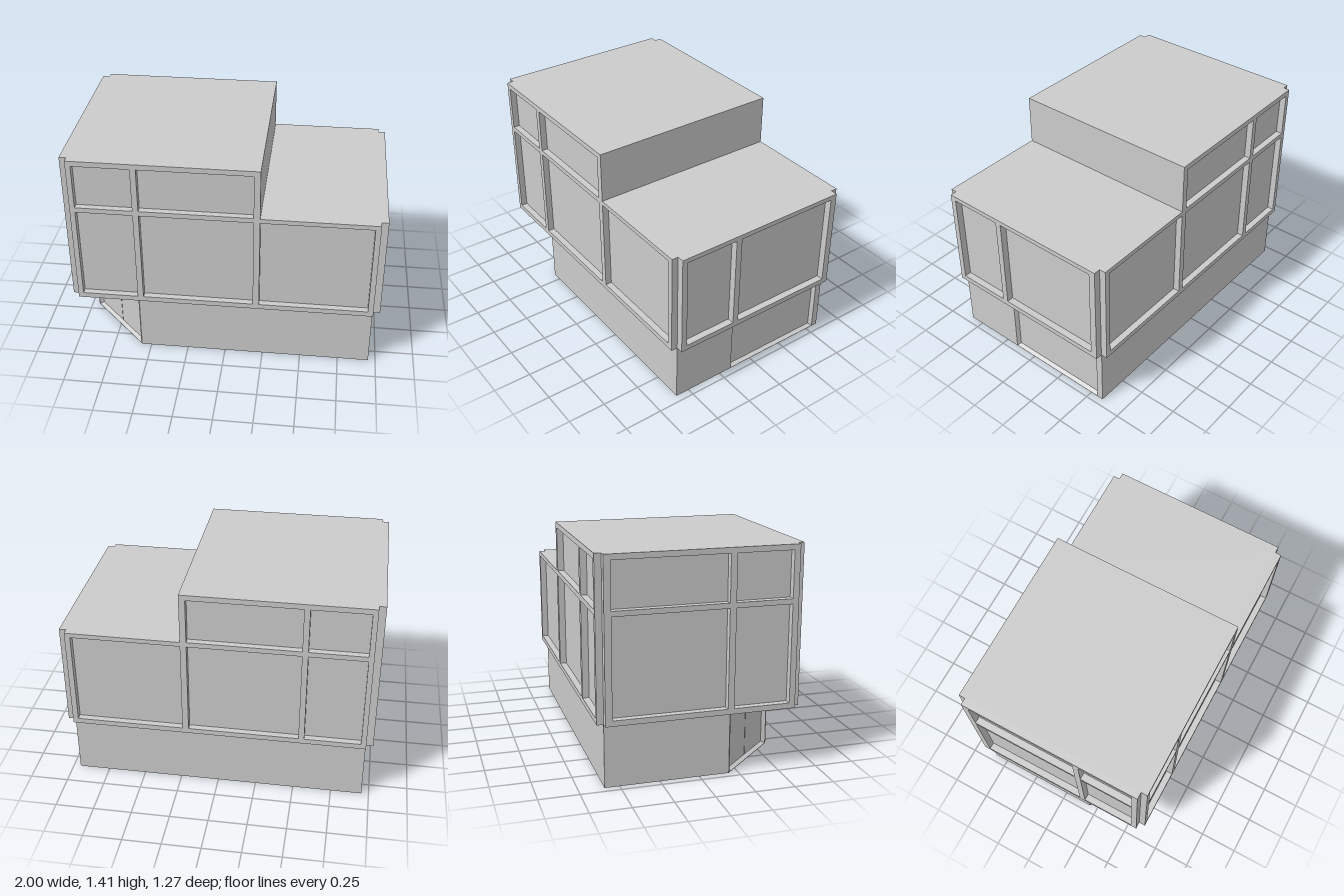
import * as THREE from 'three';

const FLOOR = 0.4, LOW = 1.085, TOP = 1.415, STEP = 0.225; // storey heights and roof step
const X = 0.955, Z = 0.593, FX = 0.045, FZ = 0.042; // core half sizes, frame depths

function polygon(points) {
  return new THREE.Shape(points.map(([x, y]) => new THREE.Vector2(x, y)));
}

function rect(x0, x1, y0, y1) {
  return [[x0, y0], [x1, y0], [x1, y1], [x0, y1]];
}

// Plate with window openings, extruded along +z
function plate(outline, windows, depth) {
  const shape = polygon(outline);
  shape.holes = windows.map((w) => polygon(rect(...w).reverse()));
  return new THREE.ExtrudeGeometry(shape, { depth, bevelEnabled: false });
}

// Splayed reveal and sunken panel of a doorway in the local plane z = 0
function doorway([x0, x1, y0, y1], depth, splay) {
  const outer = rect(x0, x1, y0, y1).map(([x, y]) => [x, y, 0]);
  const inner = rect(x0 + splay, x1 - splay, y0 + splay, y1 - splay).map(([x, y]) => [x, y, -depth]);
  const pos = [];
  const quad = (a, b, c, d) => pos.push(...a, ...b, ...c, ...a, ...c, ...d);
  for (let i = 0; i < 4; i++) {
    const j = (i + 1) % 4;
    quad(outer[i], outer[j], inner[j], inner[i]);
  }
  quad(...inner);
  const g = new THREE.BufferGeometry();
  g.setAttribute('position', new THREE.Float32BufferAttribute(pos, 3));
  g.computeVertexNormals();
  return g;
}

export function createModel() {
  const model = new THREE.Group();
  const material = new THREE.MeshStandardMaterial({ color: 0xcccccc, flatShading: true });
  const add = (name, geometry, parent = model) => {
    const mesh = new THREE.Mesh(geometry, material);
    mesh.name = name;
    parent.add(mesh);
    return mesh;
  };

  // Ground floor: one corner cut off, walls follow the footprint
  const footprint = [[-0.565, Z], [0.953, Z], [0.953, -Z], [-0.953, -Z], [-0.953, 0.19]];
  const doors = { 1: [0.433, 1.143, 0.002, 0.398], 4: [0.01, 0.55, 0.003, 0.393] };
  const wallNames = ['groundFrontWall', 'groundLeftWall', 'groundBackWall', 'groundRightWall', 'groundCornerWall'];
  footprint.forEach(([ax, az], i) => {
    const [bx, bz] = footprint[(i + 1) % footprint.length];
    const length = Math.hypot(bx - ax, bz - az);
    const wall = new THREE.Group();
    wall.name = wallNames[i];
    wall.position.set(ax, 0, az);
    wall.rotation.y = Math.atan2(az - bz, bx - ax);
    const face = polygon(rect(0, length, 0, FLOOR));
    if (doors[i]) {
      face.holes.push(polygon(rect(...doors[i]).reverse()));
      add('doorway', doorway(doors[i], 0.025, 0.013), wall);
    }
    add('wallFace', new THREE.ShapeGeometry(face), wall);
    // Seam between the two corner door leaves
    if (i === 4) {
      const seam = add('doorSeam', new THREE.BoxGeometry(0.004, 0.36, 0.004), wall);
      seam.position.set(length / 2, 0.198, -0.025);
    }
    model.add(wall);
  });
  add('groundSlab', new THREE.ShapeGeometry(polygon(footprint)).rotateX(Math.PI / 2));

  // Upper floors: stepped core
  const stepped = [[-X, FLOOR], [X, FLOOR], [X, LOW], [STEP, LOW], [STEP, TOP], [-X, TOP]];
  add('upperCore', plate(stepped, [], 2 * Z).translate(0, 0, -Z));

  // Window frames on the long sides
  const lower = [0.435, 1.055], upper = [1.088, 1.38];
  const longWindows = [
    [-0.922, -0.562, ...lower], [-0.525, 0.185, ...lower], [0.225, 0.92, ...lower],
    [-0.922, -0.562, ...upper], [-0.525, 0.185, ...upper],
  ];
  const longFrame = plate(stepped, longWindows, FZ);
  add('frontWindowFrame', longFrame.clone().translate(0, 0, Z));
  add('backWindowFrame', longFrame.clone().translate(0, 0, -Z - FZ));

  // Window frames on the short sides (local x runs towards the back)
  const bays = [[-0.555, -0.2], [-0.16, 0.55]];
  const row = (r) => bays.map((b) => [...b, ...r]);
  const shortFrame = (height, windows, x) =>
    plate(rect(-Z, Z, FLOOR, height), windows, FX).rotateY(Math.PI / 2).translate(x, 0, 0);
  add('leftWindowFrame', shortFrame(LOW, row(lower), X));
  add('rightWindowFrame', shortFrame(TOP, [...row(lower), ...row(upper)], -X - FX));

  return model;
}
